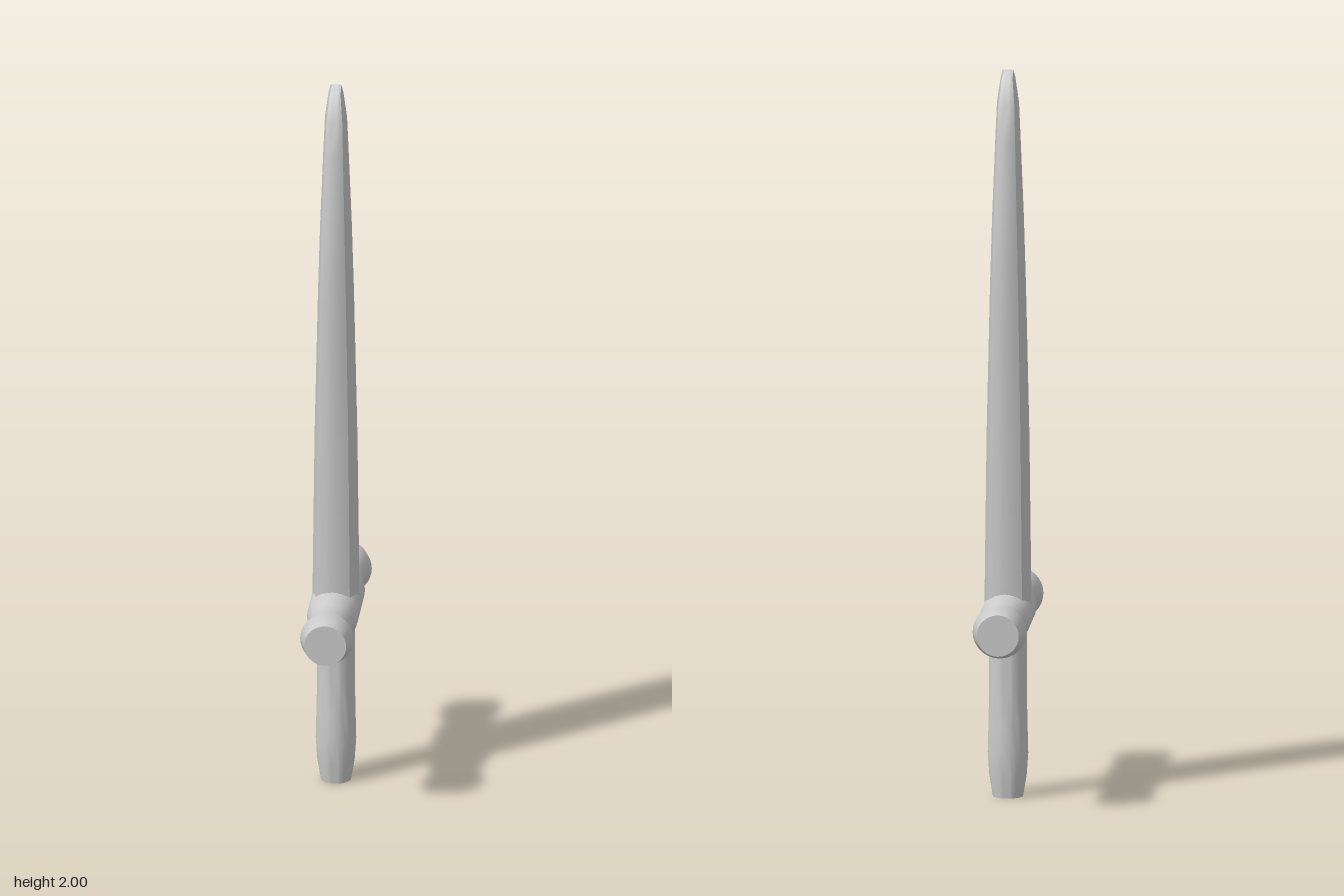
import * as THREE from 'three';
import { toCreasedNormals } from 'three/addons/utils/BufferGeometryUtils.js';

const grey = new THREE.MeshStandardMaterial({ color: 0xcccccc });

function part(name, geometry) {
  const mesh = new THREE.Mesh(geometry, grey);
  mesh.name = name;
  return mesh;
}

// Turned piece from [radius, height] pairs, with smooth sides and crisp end caps
function turned(profile) {
  const points = profile.map(([r, y]) => new THREE.Vector2(r, y));
  return toCreasedNormals(new THREE.LatheGeometry(points, 32), 0.9);
}

// Ten-sided blade section: shallow ridge on each side, bevelled front and back edges
function bladeSection(halfX, halfZ) {
  const quarter = [[1, 0], [0.72, 0.9], [0.3, 1]];
  const right = [...quarter.slice(1).reverse().map(([x, z]) => [x, -z]), ...quarter];
  const left = right.map(([x, z]) => [-x, -z]);
  return [...right, ...left].map(([x, z]) => [x * halfX, z * halfZ]);
}

function bladeGeometry() {
  // [height, half thickness in x, half width in z]
  const levels = [
    [0.5, 0.064, 0.104], [0.6, 0.063, 0.104], [1.0, 0.058, 0.104],
    [1.4, 0.049, 0.104], [1.6, 0.043, 0.099], [1.82, 0.034, 0.073],
    [1.91, 0.03, 0.058], [1.98, 0.02, 0.027], [2.0, 0.015, 0.002],
  ];
  const positions = [];
  const n = 10;
  for (const [y, hx, hz] of levels) {
    for (const [x, z] of bladeSection(hx, hz)) positions.push(x, y, z);
  }
  const index = [];
  for (let i = 0; i < levels.length - 1; i++) {
    for (let j = 0; j < n; j++) {
      const a = i * n + j, b = i * n + (j + 1) % n;
      index.push(a, a + n, b, b, a + n, b + n);
    }
  }
  // Close the bottom and the tip
  const top = (levels.length - 1) * n;
  for (let j = 1; j < n - 1; j++) {
    index.push(0, j, j + 1, top, top + j + 1, top + j);
  }
  const geometry = new THREE.BufferGeometry();
  geometry.setAttribute('position', new THREE.Float32BufferAttribute(positions, 3));
  geometry.setIndex(index);
  return toCreasedNormals(geometry, 0.6);
}

export function createModel() {
  const model = new THREE.Group();
  model.name = 'dagger';

  model.add(part('blade', bladeGeometry()));

  // Crossguard: mirrored turned profile laid along z
  const half = [[0.069, 0.11], [0.057, 0.165], [0.057, 0.228], [0.073, 0.277], [0.057, 0.335], [0, 0.335]];
  const mirrored = half.map(([r, y]) => [r, -y]).reverse();
  const guard = part('crossguard', turned([...mirrored, ...half]));
  guard.rotation.x = Math.PI / 2;
  guard.position.y = 0.505;
  model.add(guard);

  // Grip with a slightly swollen, tapered end
  model.add(part('grip', turned([
    [0, 0], [0.041, 0], [0.051, 0.06], [0.055, 0.12], [0.053, 0.2], [0.051, 0.3], [0.051, 0.5],
  ])));

  return model;
}
